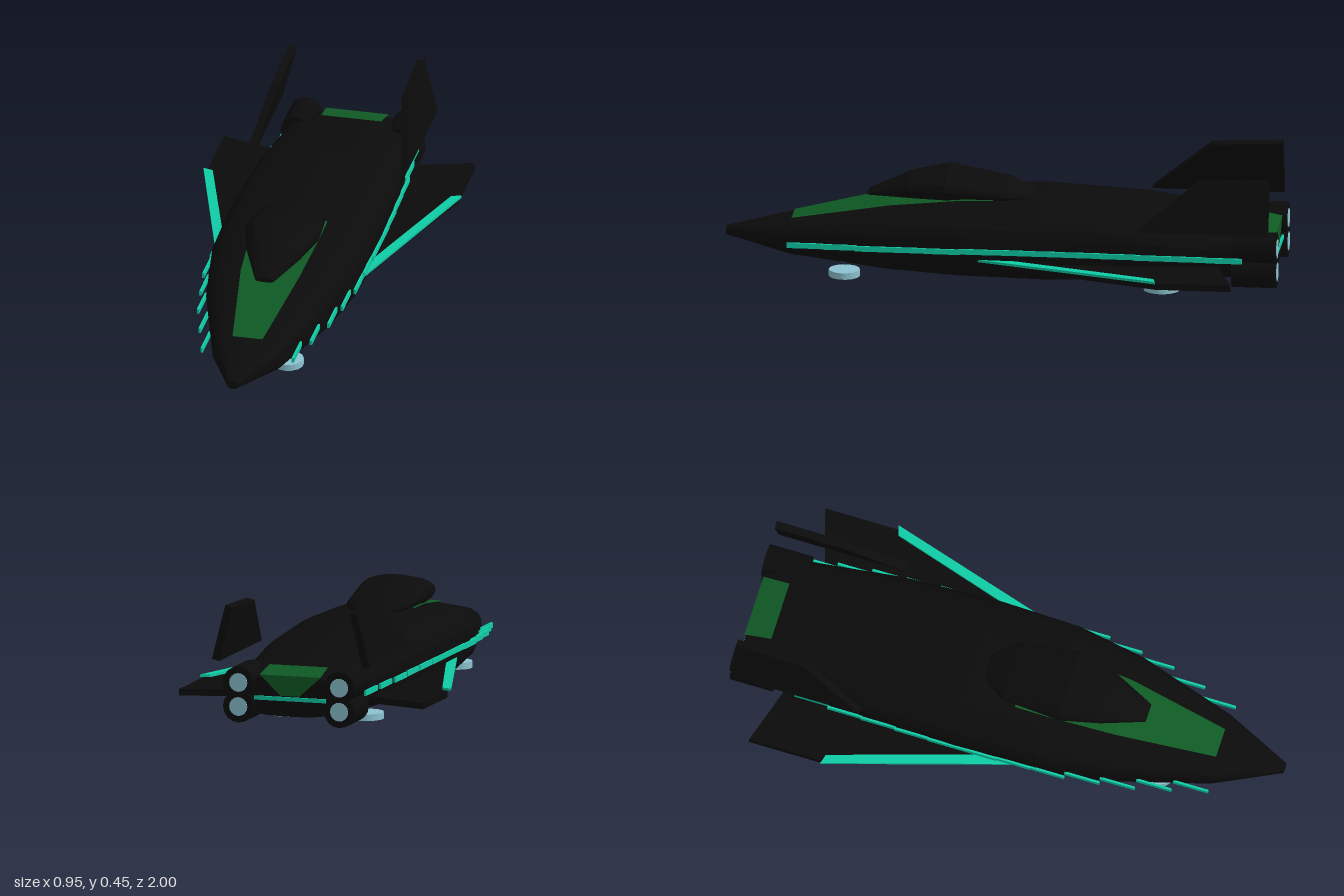
import * as THREE from 'three';

const black = new THREE.MeshStandardMaterial({ color: 0x0b0b0b });
black.name = 'hullBlack';
const green = new THREE.MeshStandardMaterial({ color: 0x0f5a24 });
green.name = 'glassGreen';
const teal = new THREE.MeshStandardMaterial({ color: 0x0fcca6 });
teal.name = 'glowTeal';
const blue = new THREE.MeshStandardMaterial({ color: 0x8cc3d0 });
blue.name = 'padBlue';

// Stations from nose to tail: [z, half width, bottom y, top y]
const HULL = [
  [1, 0.018, 0.11, 0.14], [0.76, 0.13, 0.06, 0.19], [0.4, 0.235, 0.03, 0.265],
  [0.15, 0.275, 0.02, 0.295], [-0.15, 0.282, 0.015, 0.303], [-0.5, 0.27, 0.025, 0.285],
  [-0.85, 0.235, 0.045, 0.235], [-0.98, 0.2, 0.06, 0.205],
];
const CANOPY = [
  [0.49, 0.035, 0.278, 0.292], [0.34, 0.1, 0.275, 0.36], [0.2, 0.137, 0.272, 0.39],
  [-0.02, 0.115, 0.277, 0.345], [-0.11, 0.05, 0.285, 0.305],
];

// Interpolated value (column k) of the hull table at z
function hullAt(z, k) {
  let i = 0;
  while (i < HULL.length - 2 && z < HULL[i + 1][0]) i++;
  const a = HULL[i], b = HULL[i + 1];
  return a[k] + (b[k] - a[k]) * (a[0] - z) / (a[0] - b[0]);
}

function faceted(pos, index) {
  const g = new THREE.BufferGeometry();
  g.setAttribute('position', new THREE.Float32BufferAttribute(pos, 3));
  g.setIndex(index);
  const flat = g.toNonIndexed();
  flat.computeVertexNormals();
  return flat;
}

// Closed body of superellipse rings
function loft(rings, n, power) {
  const pos = [], idx = [];
  const bend = v => Math.sign(v) * Math.pow(Math.abs(v), 2 / power);
  for (const [z, w, lo, hi] of rings) {
    for (let j = 0; j < n; j++) {
      const t = j / n * Math.PI * 2;
      pos.push(w * bend(Math.cos(t)), (lo + hi) / 2 + (hi - lo) / 2 * bend(Math.sin(t)), z);
    }
  }
  const last = (rings.length - 1) * n;
  for (let i = 0; i < last; i += n) {
    for (let j = 0; j < n; j++) {
      const k = (j + 1) % n;
      idx.push(i + j, i + n + j, i + k, i + k, i + n + j, i + n + k);
    }
  }
  for (let j = 1; j < n - 1; j++) idx.push(0, j, j + 1, last, last + j + 1, last + j);
  return faceted(pos, idx);
}

// Ribbon symmetric about x = 0, rows of [half width, y, z]
function ribbon(rows) {
  const pos = [], idx = [];
  rows.forEach(([w, y, z], i) => {
    pos.push(-w, y, z, w, y, z);
    if (i) {
      const a = 2 * i - 2;
      idx.push(a, a + 1, a + 2, a + 1, a + 3, a + 2);
    }
  });
  return faceted(pos, idx);
}

function extrude(points, depth) {
  const shape = new THREE.Shape(points.map(p => new THREE.Vector2(p[0], p[1])));
  return new THREE.ExtrudeGeometry(shape, { depth, bevelEnabled: false });
}

// Flat slab from [x, z] outline, top at y
const slab = (points, top, depth, s) =>
  extrude(points.map(p => [s * p[0], p[1]]), depth).rotateX(Math.PI / 2).translate(0, top, 0);

export function createModel() {
  const model = new THREE.Group();
  model.name = 'spacecraft';
  const add = (name, geometry, material, x = 0, y = 0, z = 0) => {
    const m = new THREE.Mesh(geometry, material);
    m.name = name;
    m.position.set(x, y, z);
    model.add(m);
    return m;
  };

  add('fuselage', loft(HULL, 28, 2.8), black);
  add('canopy', loft(CANOPY, 18, 2.1), black);

  // Glass in front of and under the canopy
  add('windshield', ribbon([[0.055, 0.76], [0.108, 0.4], [0.125, 0.15], [0.125, 0.03]]
    .map(([w, z]) => [w, hullAt(z, 3) + 0.003, z])), green);

  // Rear window wraps over the tail edge
  add('rearWindow', ribbon([
    [0.11, hullAt(-0.885, 3) + 0.003, -0.885], [0.115, 0.208, -0.984], [0.035, 0.135, -0.984],
  ]), green);
  add('tailLight', new THREE.BoxGeometry(0.27, 0.014, 0.01), teal, 0, 0.124, -0.983);

  for (const s of [1, -1]) {
    const side = s > 0 ? 'left' : 'right';

    // Wing with glowing leading edge
    add(side + 'Wing', slab([[0.2, 0.18], [0.46, -0.59], [0.46, -0.86], [0.18, -0.775]], 0.117, 0.024, s), black);
    add(side + 'WingLight', slab([[0.473, -0.59], [0.437, -0.58], [0.225, 0.1], [0.26, 0.11]], 0.126, 0.009, s), teal);

    // Tail fin leaning inward
    const fin = extrude([[-0.5, 0], [-0.975, 0], [-0.975, 0.203], [-0.72, 0.19]], 0.028)
      .translate(0, 0, -0.014).rotateY(-Math.PI / 2);
    add(side + 'Fin', fin, black, s * 0.284, 0.25, 0).rotation.z = s * 0.25;

    // Stepped light strip along the flank
    for (let i = 0; i < 13; i++) {
      const z = 0.7 - i * 0.126;
      const x = Math.max(hullAt(z - 0.06, 1), hullAt(z + 0.06, 1)) + 0.002;
      const d = (z + 0.1) / 0.8;
      const y = 0.158 - (d > 0 ? 0.033 : 0.02) * d * d;
      add(side + 'FlankLight', new THREE.BoxGeometry(0.008, 0.019, 0.13), teal, s * x, y, z);
    }

    // Paired engines with exhaust discs
    for (const y of [0.09, 0.177]) {
      add(side + 'Engine', new THREE.CylinderGeometry(0.058, 0.058, 0.16, 16).rotateX(Math.PI / 2),
        black, s * 0.19, y, -0.918);
      add(side + 'Exhaust', new THREE.CylinderGeometry(0.034, 0.034, 0.006, 16).rotateX(Math.PI / 2),
        blue, s * 0.19, y, -0.997);
    }

    // Landing pads
    for (const [r, x, z] of [[0.056, 0.104, 0.565], [0.067, 0.147, -0.58]]) {
      add(side + 'LandingPad', new THREE.CylinderGeometry(r, r, 0.024, 14), blue, s * x, 0.012, z);
    }
  }
  return model;
}
